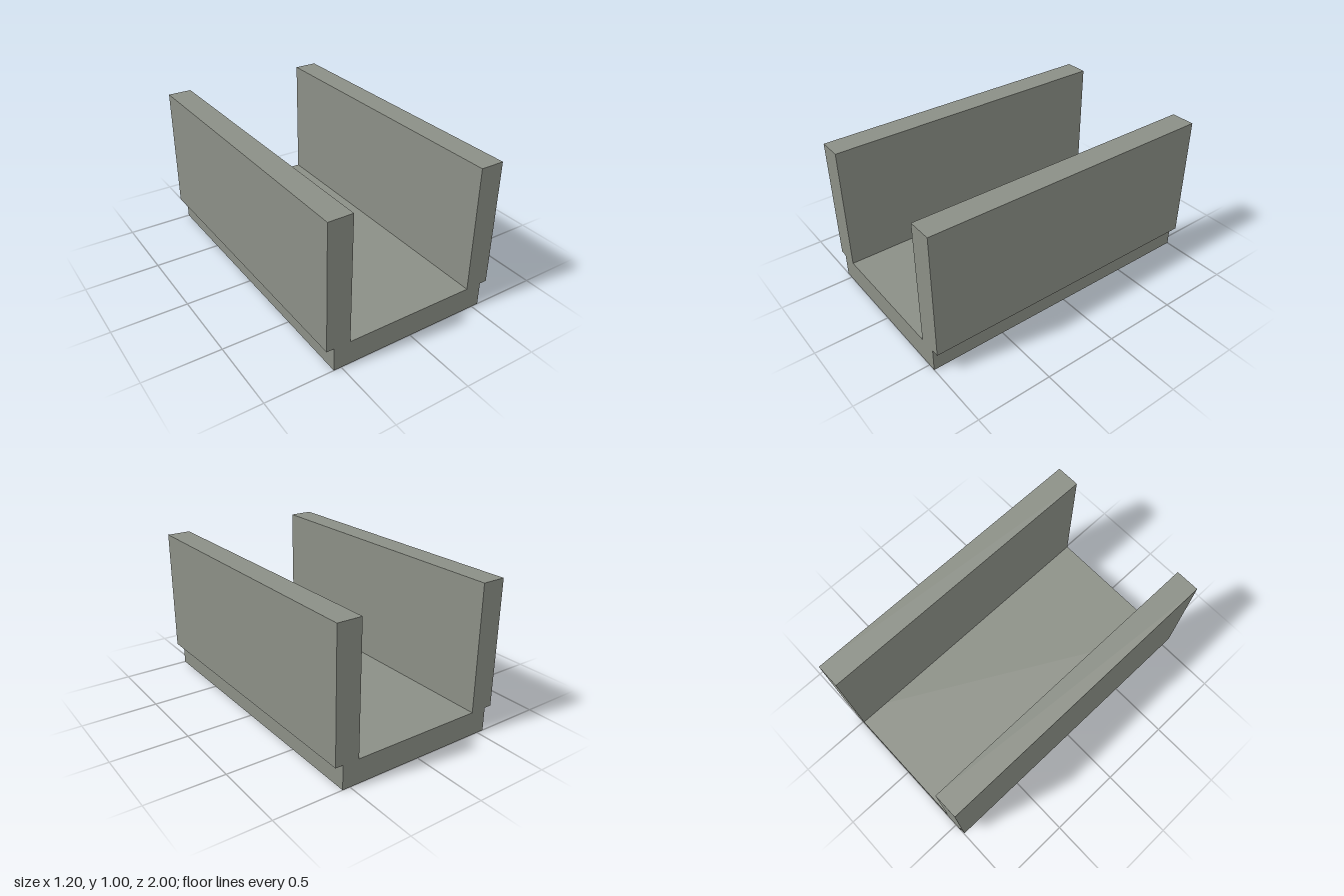
import * as THREE from 'three';

export function createModel() {
  const model = new THREE.Group();
  model.name = 'channel';

  const stone = new THREE.MeshStandardMaterial({ color: 0x8b8f86 });
  stone.name = 'grey stone';

  const length = 2;
  const floorHeight = 0.16;
  const wallThickness = 0.16;
  const wallHeight = 1 - floorHeight;

  const addSlab = (name, width, height, x, bottom) => {
    const slab = new THREE.Mesh(new THREE.BoxGeometry(width, height, length), stone);
    slab.name = name;
    slab.position.set(x, bottom + height / 2, 0);
    model.add(slab);
  };

  // Floor slab, slightly narrower than the outer faces of the walls
  addSlab('floor', 1.1, floorHeight, 0, 0);

  // Side walls standing on the floor and overhanging its edges
  for (const [name, side] of [['leftWall', 1], ['rightWall', -1]]) {
    addSlab(name, wallThickness, wallHeight, side * (0.6 - wallThickness / 2), floorHeight);
  }

  return model;
}
